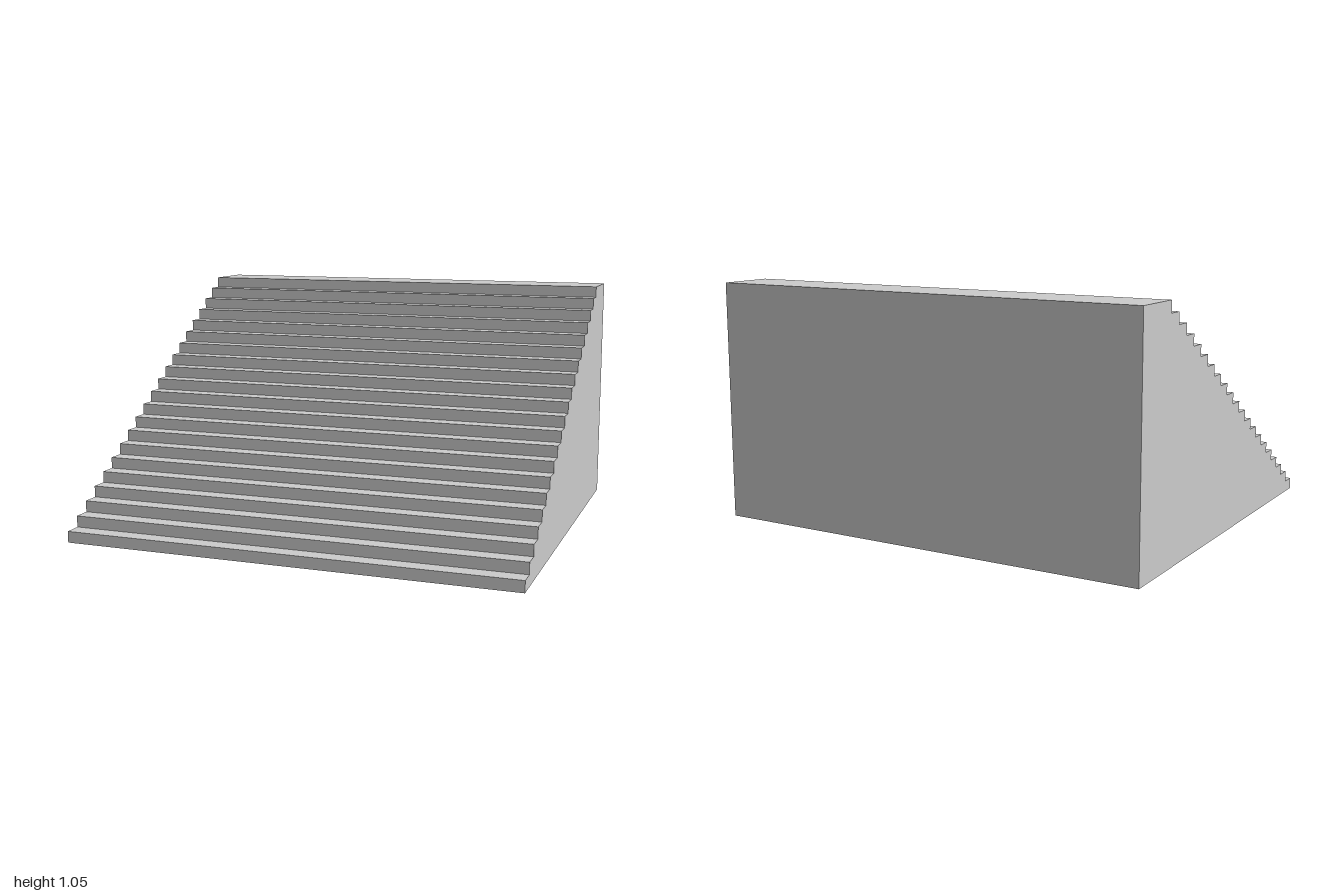
import * as THREE from 'three';

const WIDTH = 2;
const STEPS = 21;      // risers, the last one reaching the landing
const RISE = 0.05;
const TREAD = 0.075;
const FRONT = 0.875;
const BACK = -0.875;

// Side profile of the staircase: horizontal axis is z, vertical axis is y
function stairProfile() {
  const shape = new THREE.Shape();
  shape.moveTo(BACK, 0);
  shape.lineTo(FRONT, 0);
  for (let i = 0; i < STEPS; i++) {
    const z = FRONT - i * TREAD;
    const y = (i + 1) * RISE;
    shape.lineTo(z, y);                                      // riser
    shape.lineTo(i < STEPS - 1 ? z - TREAD : BACK, y);       // tread, or top landing
  }
  shape.closePath();
  return shape;
}

export function createModel() {
  const group = new THREE.Group();
  group.name = 'staircase';

  // Solid flight of steps with a deeper landing at the top
  const geometry = new THREE.ExtrudeGeometry(stairProfile(), { depth: WIDTH, bevelEnabled: false });
  geometry.rotateY(-Math.PI / 2);
  geometry.translate(WIDTH / 2, 0, 0);

  const material = new THREE.MeshStandardMaterial({ color: 0xcccccc, flatShading: true });
  const flight = new THREE.Mesh(geometry, material);
  flight.name = 'stepsAndLanding';
  group.add(flight);

  return group;
}
